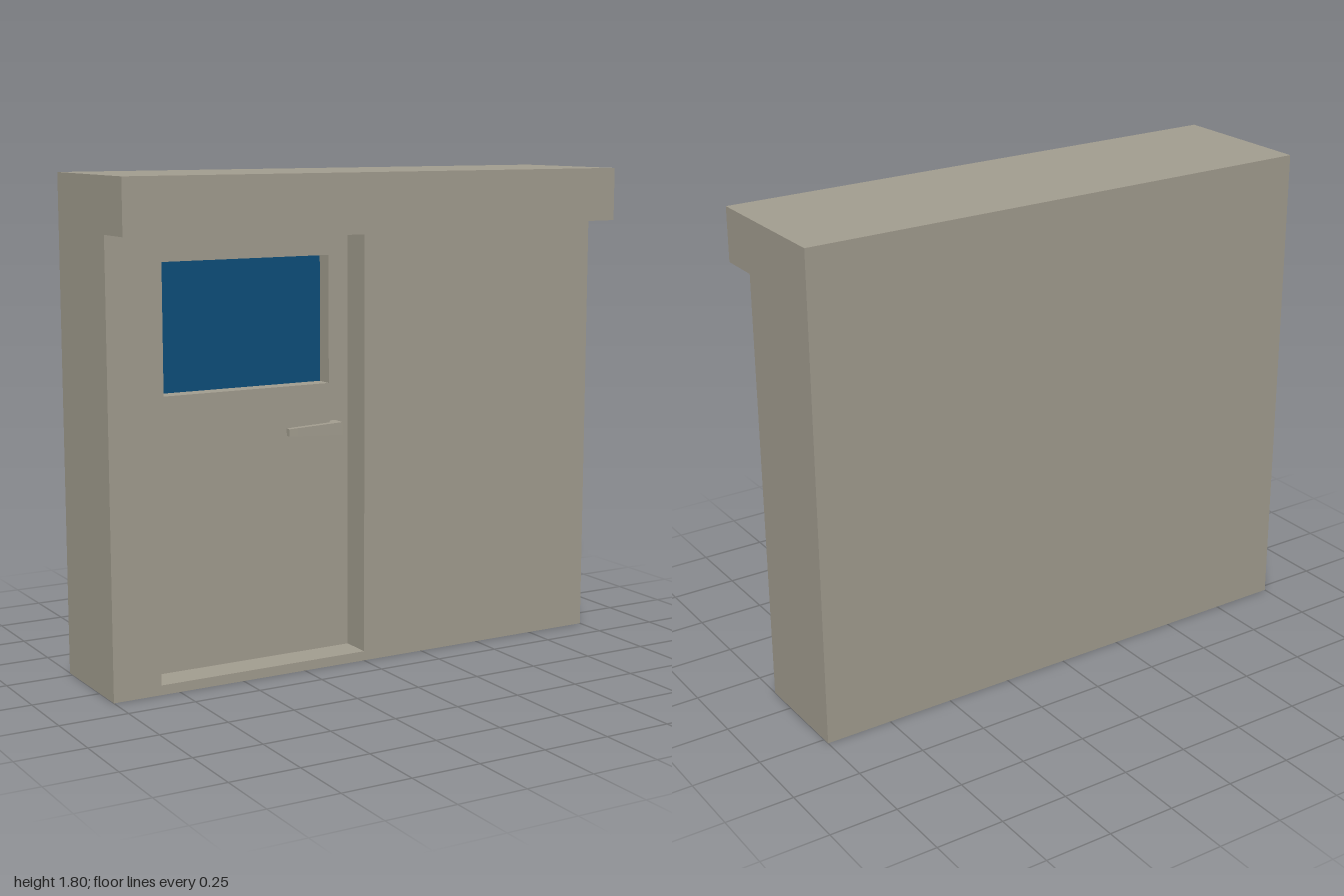
import * as THREE from 'three';

const FRONT = 0.125, BACK = -0.278, EAVE = 0.278;
const DOOR_Z = 0.005, GLASS_Z = -0.06;
const TOP = 1.8, LINTEL = 1.605;

const rect = (x0, x1, y0, y1) => [[x0, y0], [x1, y0], [x1, y1], [x0, y1]];
const toVec = pts => pts.map(p => new THREE.Vector2(p[0], p[1]));

// flat sheet facing +z, optionally with an opening
function sheet(outline, z, opening) {
  const shape = new THREE.Shape(toVec(outline));
  if (opening) shape.holes.push(new THREE.Path(toVec(opening)));
  return new THREE.ShapeGeometry(shape).translate(0, 0, z);
}

// band of quads along a path, from z0 to z1; faces lie to the right of the path
function band(pts, z0, z1) {
  const pos = [];
  for (let i = 0; i < pts.length - 1; i++) {
    const [ax, ay] = pts[i], [bx, by] = pts[i + 1];
    pos.push(ax, ay, z0, bx, by, z0, bx, by, z1, ax, ay, z0, bx, by, z1, ax, ay, z1);
  }
  const g = new THREE.BufferGeometry();
  g.setAttribute('position', new THREE.Float32BufferAttribute(pos, 3));
  g.computeVertexNormals();
  return g;
}

// inward-facing sides of an opening
const reveal = (opening, z0, z1) => band([...opening, opening[0]].reverse(), z0, z1);

export function createModel() {
  const group = new THREE.Group();
  const wallMat = new THREE.MeshStandardMaterial({ color: 0xa49f91 });
  wallMat.name = 'warm grey';
  const glassMat = new THREE.MeshStandardMaterial({ color: 0x0c4f7c });
  glassMat.name = 'blue glass';
  const add = (name, geometry, material = wallMat) => {
    const mesh = new THREE.Mesh(geometry, material);
    mesh.name = name;
    group.add(mesh);
  };

  const doorway = rect(-0.82, 0, 0.035, 1.575);
  const pane = rect(-0.74, -0.08, 1.03, 1.497);

  // wall front, and the shell with its overhanging top (profile drawn in z, y)
  add('wallFront', sheet(rect(-1, 1, 0, LINTEL), FRONT, doorway));
  const profile = [[FRONT, LINTEL], [EAVE, LINTEL], [EAVE, TOP], [BACK, TOP], [BACK, 0], [FRONT, 0]];
  const turned = profile.map(([z, y]) => [-z, y]).reverse();
  add('wallShell', band(turned, -1, 1).rotateY(Math.PI / 2).scale(1, 1, 1));
  // profile x = -z: a quarter turn sends local x to -z and local z to +x
  add('leftEnd', sheet(turned, 1).rotateY(Math.PI / 2));
  add('rightEnd', sheet(profile, 1).rotateY(-Math.PI / 2));

  // recessed door with a deeper window
  add('doorFrame', reveal(doorway, DOOR_Z, FRONT));
  add('doorPanel', sheet(doorway, DOOR_Z, pane));
  add('windowFrame', reveal(pane, GLASS_Z, DOOR_Z));
  add('windowPane', sheet(pane, GLASS_Z), glassMat);

  // lever handle: bent plan shape that grows taller toward its fixing
  const plan = [[-0.27, 0.032], [-0.235, 0.03], [-0.095, 0.035], [-0.075, DOOR_Z],
    [-0.055, DOOR_Z], [-0.055, 0.063], [-0.235, 0.055], [-0.27, 0.053]];
  const lever = new THREE.ExtrudeGeometry(
    new THREE.Shape(toVec(plan.map(([x, z]) => [x, -z]))),
    { depth: 1, bevelEnabled: false }
  ).rotateX(-Math.PI / 2);
  const p = lever.attributes.position;
  for (let i = 0; i < p.count; i++) {
    const t = (p.getX(i) + 0.27) / 0.215;
    p.setY(i, 0.868 + (p.getY(i) - 0.5) * (0.027 + 0.02 * t));
  }
  lever.computeVertexNormals();
  add('doorHandle', lever);

  return group;
}
